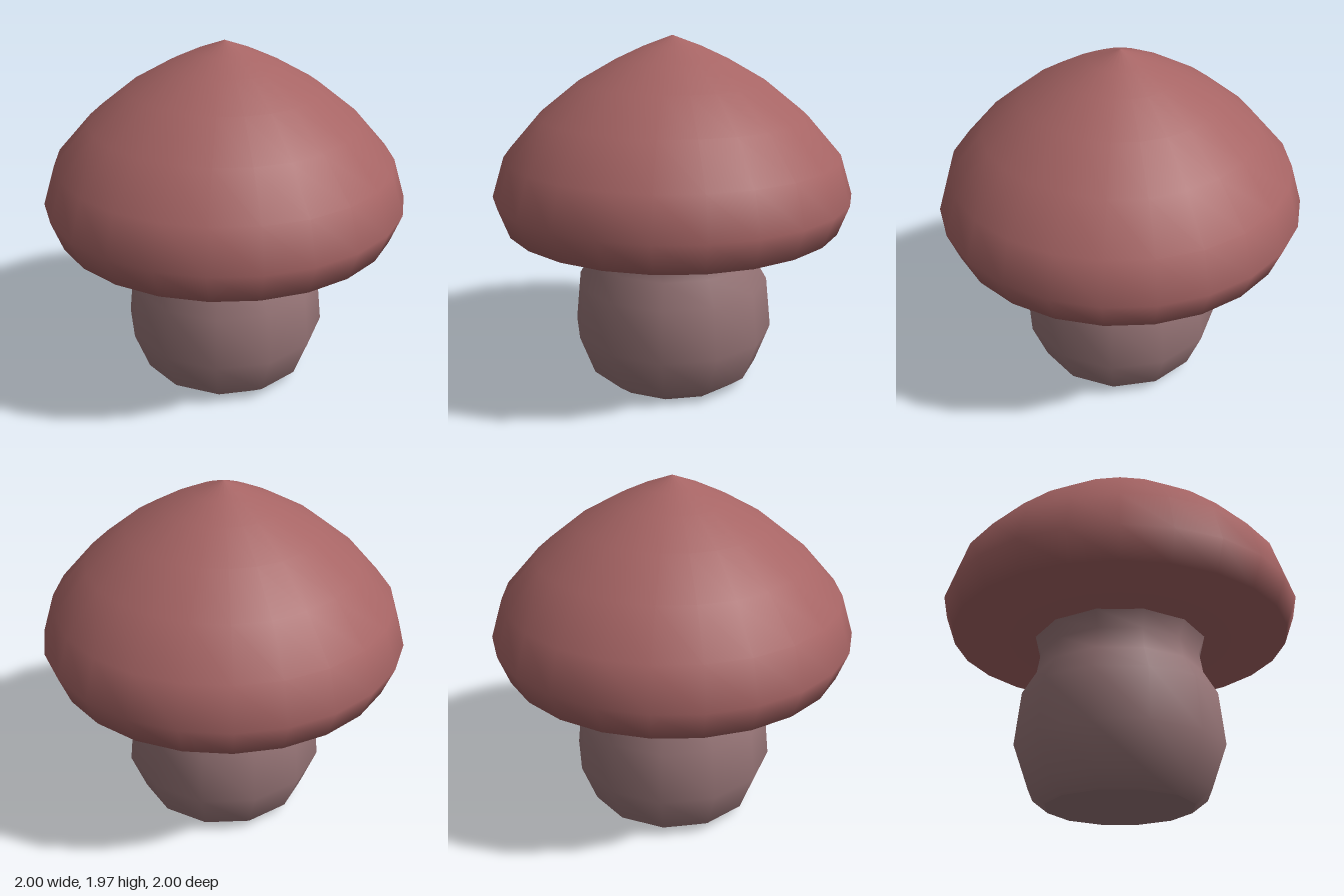
import * as THREE from 'three';

const capMaterial = new THREE.MeshStandardMaterial({ color: 0xa66464 });
const stemMaterial = new THREE.MeshStandardMaterial({ color: 0x967476 });

// Smooth turned part from [radius, height] pairs, listed bottom to top
function turned(name, profile, sides, material) {
  const points = profile.map(([r, y]) => new THREE.Vector2(r, y));
  const mesh = new THREE.Mesh(new THREE.LatheGeometry(points, sides), material);
  mesh.name = name;
  return mesh;
}

export function createModel() {
  const group = new THREE.Group();
  group.name = 'mushroom';

  // Cap: flat underside, rounded rim, dome rising to a soft point
  group.add(turned('cap', [
    [0.44, 0.93], [0.94, 0.945], [1, 1.11], [0.93, 1.33], [0.74, 1.545],
    [0.52, 1.72], [0.31, 1.84], [0.16, 1.91], [0, 1.97],
  ], 24, capMaterial));

  // Stem: bulbous foot, narrow neck, flare under the cap
  group.add(turned('stem', [
    [0.4, 0], [0.49, 0.07], [0.575, 0.3], [0.545, 0.59],
    [0.47, 0.72], [0.45, 0.84], [0.485, 0.932],
  ], 12, stemMaterial));

  // Flat base closing the stem
  const base = new THREE.Mesh(new THREE.CircleGeometry(0.4, 12), stemMaterial);
  base.rotation.x = Math.PI / 2;
  base.name = 'stemBase';
  group.add(base);

  return group;
}
